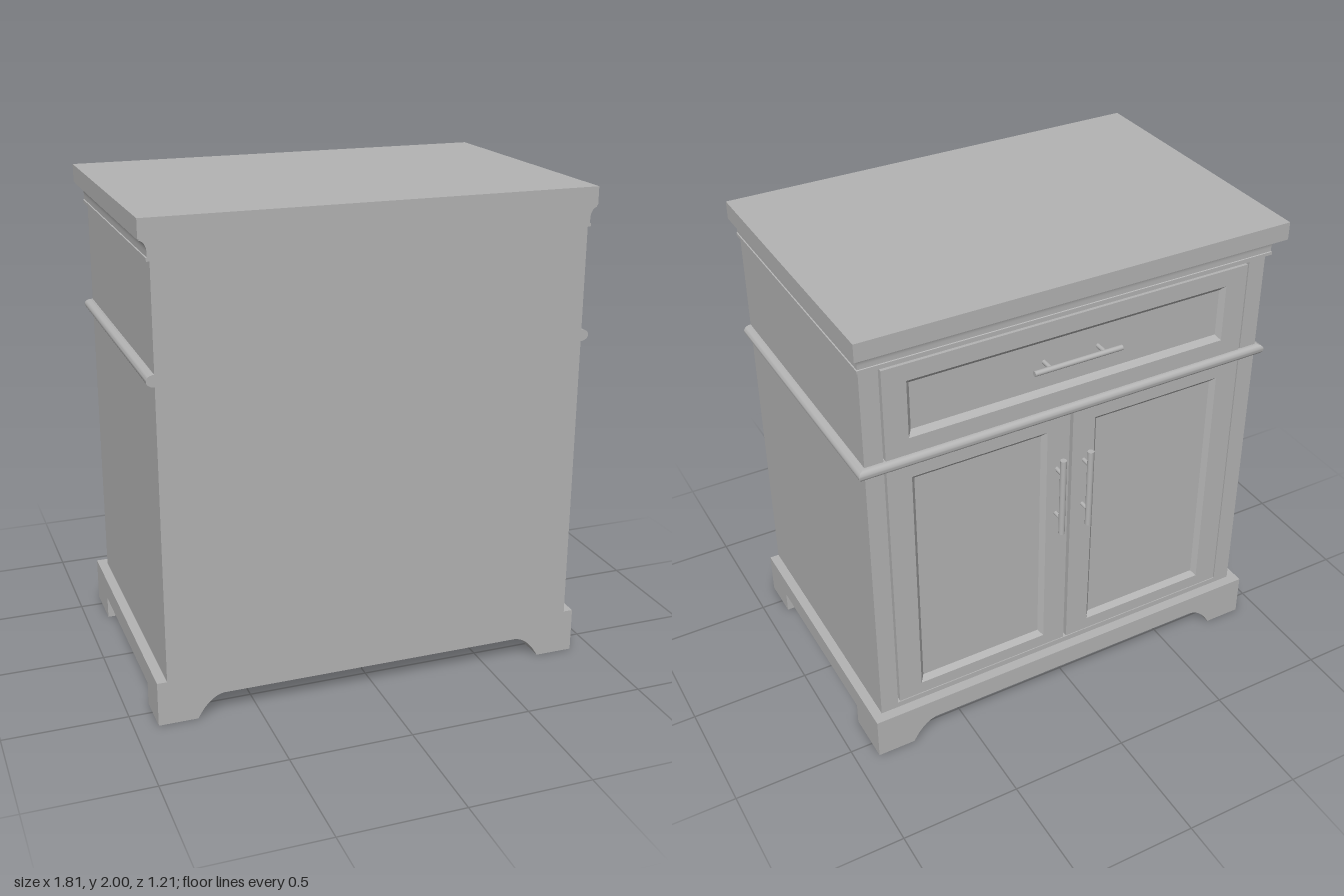
import * as THREE from 'three';
import { toCreasedNormals } from 'three/addons/utils/BufferGeometryUtils.js';

const HALF_W = 0.865, BACK = 0.605, FACE = -0.53;

export function createModel() {
  const model = new THREE.Group();
  model.name = 'cabinet';
  const grey = new THREE.MeshStandardMaterial({ color: 0xb3b3b3 });
  grey.name = 'plain grey';

  function add(name, geometry, parent = model) {
    const mesh = new THREE.Mesh(geometry, grey);
    mesh.name = name;
    parent.add(mesh);
    return mesh;
  }

  // box given by its limits
  function block(name, x0, x1, y0, y1, z0, z1) {
    const mesh = add(name, new THREE.BoxGeometry(x1 - x0, y1 - y0, z1 - z0));
    mesh.position.set((x0 + x1) / 2, (y0 + y1) / 2, (z0 + z1) / 2);
    return mesh;
  }

  // closed solid through four-cornered rings
  function loft(rings, crease = 0.5) {
    const pos = [];
    const quad = (a, b, c, d) => pos.push(...a, ...b, ...c, ...a, ...c, ...d);
    for (let r = 0; r < rings.length - 1; r++) {
      for (let i = 0; i < 4; i++) {
        const j = (i + 1) % 4;
        quad(rings[r][i], rings[r][j], rings[r + 1][j], rings[r + 1][i]);
      }
    }
    const first = rings[0], last = rings[rings.length - 1];
    quad(first[3], first[2], first[1], first[0]);
    quad(...last);
    const g = new THREE.BufferGeometry();
    g.setAttribute('position', new THREE.Float32BufferAttribute(pos, 3));
    g.computeVertexNormals();
    return toCreasedNormals(g, crease);
  }

  // moulding around three sides, flush at the plain side; profile of [x offset, z offset, y]
  function moulding(name, profile) {
    add(name, loft(profile.map(([ox, oz, y]) => {
      const x = HALF_W + ox, z = FACE - oz;
      return [[-x, y, BACK], [x, y, BACK], [x, y, z], [-x, y, z]];
    })));
  }

  // door or drawer front with a bevelled, sunken panel
  function panelFront(name, x0, x1, y0, y1, railX, railY) {
    const ring = (ix, iy, z) => [
      [x1 - ix, y0 + iy, z], [x0 + ix, y0 + iy, z],
      [x0 + ix, y1 - iy, z], [x1 - ix, y1 - iy, z],
    ];
    const front = FACE - 0.003;
    add(name, loft([
      ring(0, 0, -0.49), ring(0, 0, front),
      ring(railX, railY, front), ring(railX + 0.018, railY + 0.022, front + 0.02),
    ], 0.1));
  }

  // bar handle on two posts, built upright
  function handle(name, x, y, z, length, spacing, radius, baseZ) {
    const group = new THREE.Group();
    group.name = name;
    add('handleBar', new THREE.CylinderGeometry(radius, radius, length, 20), group);
    const reach = baseZ - z;
    for (const s of [-1, 1]) {
      const post = add('handlePost', new THREE.CylinderGeometry(0.009, 0.009, reach, 16), group);
      post.rotation.x = Math.PI / 2;
      post.position.set(0, s * spacing / 2, reach / 2);
    }
    group.position.set(x, y, z);
    model.add(group);
    return group;
  }

  // carcass and worktop
  block('carcass', -HALF_W, HALF_W, 0.18, 1.93, -0.495, BACK);
  block('worktop', -0.905, 0.905, 1.927, 2, -0.603, BACK);

  // face frame with openings for the drawer and the doors
  const frame = new THREE.Shape([
    [-HALF_W, 0.18], [HALF_W, 0.18], [HALF_W, 1.9], [-HALF_W, 1.9],
  ].map((p) => new THREE.Vector2(...p)));
  for (const [y0, y1] of [[0.21, 1.39], [1.425, 1.825]]) {
    frame.holes.push(new THREE.Path([
      [-0.79, y0], [-0.79, y1], [0.79, y1], [0.79, y0],
    ].map((p) => new THREE.Vector2(...p))));
  }
  const frameMesh = add('faceFrame',
    new THREE.ExtrudeGeometry(frame, { depth: 0.035, bevelEnabled: false }));
  frameMesh.position.z = FACE;

  // crown with a cove
  const crown = [[0.013, 0.022, 1.845], [0.013, 0.022, 1.858], [0.009, 0.019, 1.86]];
  for (let i = 0; i <= 8; i++) {
    const a = (i / 8) * Math.PI / 2;
    crown.push([0.009 + 0.027 * (1 - Math.cos(a)), 0.019 + 0.04 * (1 - Math.cos(a)), 1.876 + 0.044 * Math.sin(a)]);
  }
  crown.push([0.036, 0.059, 1.93]);
  moulding('crownMoulding', crown);

  // half-round bead between drawer and doors
  const bead = [];
  for (let i = 0; i <= 12; i++) {
    const a = -Math.PI / 2 + (i / 12) * Math.PI;
    bead.push([0.032 * Math.cos(a), 0.022 * Math.cos(a), 1.408 + 0.024 * Math.sin(a)]);
  }
  moulding('beadMoulding', bead);

  // drawer and doors
  panelFront('drawerFront', -0.782, 0.782, 1.433, 1.818, 0.095, 0.07);
  for (const s of [-1, 1]) {
    const [x0, x1] = s > 0 ? [0.007, 0.782] : [-0.782, -0.007];
    panelFront('door', x0, x1, 0.218, 1.382, 0.1, 0.055);
    handle('doorHandle', s * 0.062, 1.03, -0.582, 0.36, 0.22, 0.013, -0.53);
  }
  handle('drawerHandle', 0, 1.64, -0.568, 0.38, 0.235, 0.011, -0.51).rotation.z = Math.PI / 2;

  // plinth and bracket feet
  block('plinth', -0.905, 0.905, 0.095, 0.185, -0.573, BACK);
  for (const s of [-1, 1]) {
    const foot = new THREE.Shape();
    foot.moveTo(s * 0.905, 0);
    foot.lineTo(s * 0.905, 0.1);
    foot.lineTo(s * 0.64, 0.1);
    foot.lineTo(s * 0.64, 0.095);
    foot.quadraticCurveTo(s * 0.7, 0.085, s * 0.745, 0);
    foot.closePath();
    for (const [z0, z1] of [[-0.573, -0.36], [0.43, BACK]]) {
      const g = new THREE.ExtrudeGeometry(foot, { depth: z1 - z0, bevelEnabled: false, curveSegments: 10 });
      add('foot', toCreasedNormals(g, 0.5)).position.z = z0;
    }
  }
  return model;
}
